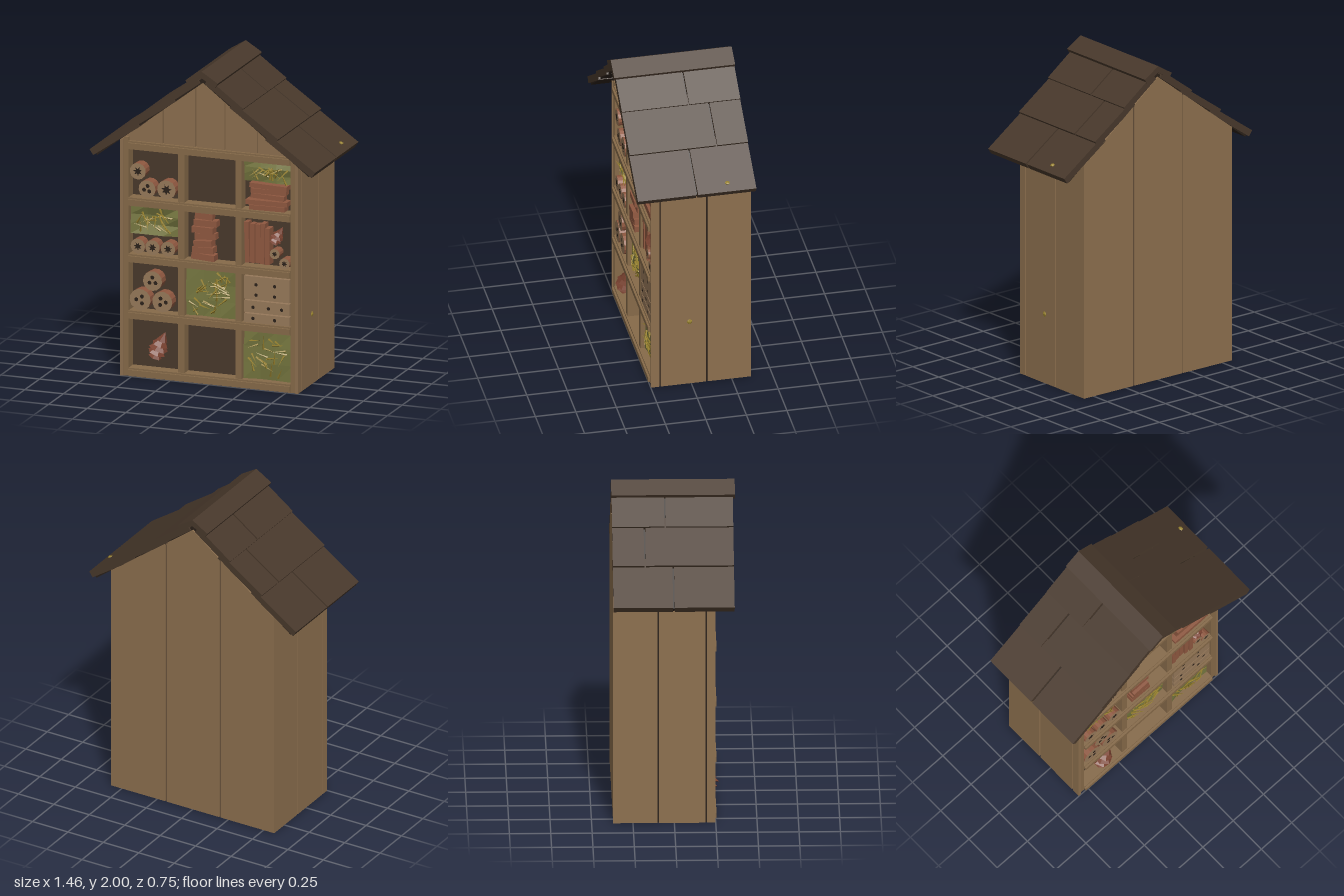
import * as THREE from 'three';

const mat = (name, color) => {
  const m = new THREE.MeshStandardMaterial({ color, flatShading: true });
  m.name = name;
  return m;
};

export function createModel() {
  const root = new THREE.Group();
  root.name = 'insectHouse';
  const wood = mat('plank wood', 0x8c6f4e);
  const frame = mat('frame wood', 0x866a49);
  const dark = mat('dark wood', 0x48382b);
  const gap = mat('gap and hole', 0x2b2119);
  const olive = mat('moss', 0x75763f);
  const straw = mat('straw', 0x9a8430);
  const brick = mat('red bark', 0x8f5840);
  const cone = mat('pine cone', 0x7a4230);
  const cut = mat('cut log', 0x97795a);

  let seed = 7;
  const rnd = (a = 0, b = 1) => {
    seed = (seed * 16807) % 2147483647;
    return a + (b - a) * seed / 2147483647;
  };
  const add = (name, geo, m, x = 0, y = 0, z = 0, parent = root) => {
    const mesh = new THREE.Mesh(geo, m);
    mesh.name = name;
    mesh.position.set(x, y, z);
    parent.add(mesh);
    return mesh;
  };
  // box given by its limits
  const box = (name, m, x0, x1, y0, y1, z0, z1) =>
    add(name, new THREE.BoxGeometry(x1 - x0, y1 - y0, z1 - z0), m,
      (x0 + x1) / 2, (y0 + y1) / 2, (z0 + z1) / 2);

  // upright board whose top follows the roof slope
  const roofY = (x) => 1.93 - 0.77 * Math.abs(x);
  const gableBoard = (name, m, x0, x1, y0, z0, z1, drop = 0) => {
    const pts = [[x0, y0], [x1, y0], [x1, roofY(x1) - drop]];
    if (x0 < 0 && x1 > 0) pts.push([0, roofY(0) - drop]);
    pts.push([x0, roofY(x0) - drop]);
    const shape = new THREE.Shape(pts.map((p) => new THREE.Vector2(...p)));
    add(name, new THREE.ExtrudeGeometry(shape, { depth: z1 - z0, bevelEnabled: false }), m, 0, 0, z0);
  };

  // core, floor and walls
  const back = 0.165, front = 0.24;
  gableBoard('innerBody', dark, -0.56, 0.56, 0.002, -0.36, back, 0.01);
  box('floor', dark, -0.565, 0.565, 0.001, 0.03, -0.36, 0.23);
  [[-0.57, -0.195], [-0.185, 0.185], [0.195, 0.57]].forEach(([a, b]) =>
    gableBoard('backPlank', wood, a, b, 0, -0.37, -0.355));
  for (const s of [-1, 1]) {
    for (const [a, b] of [[-0.37, -0.102], [-0.092, 0.188], [0.196, 0.248]]) {
      box('sidePlank', wood, Math.min(s * 0.555, s * 0.575), Math.max(s * 0.555, s * 0.575), 0, 1.49, a, b);
    }
    box('sideGap', gap, Math.min(s * 0.55, s * 0.566), Math.max(s * 0.55, s * 0.566), 0.002, 1.47, -0.35, 0.235);
    box('frontPost', frame, Math.min(s * 0.523, s * 0.556), Math.max(s * 0.523, s * 0.556), 0, 1.5, back, front);
    box('divider', frame, s * 0.185 - 0.02, s * 0.185 + 0.02, 0.04, 1.44, back, 0.235);
  }

  // front gable
  gableBoard('gableGap', gap, -0.555, 0.555, 1.44, back, 0.205, 0.01);
  const cuts = [-0.555, -0.305, -0.095, 0.095, 0.305, 0.555];
  for (let i = 0; i < 5; i++)
    gableBoard('gablePlank', wood, cuts[i] + 0.004, cuts[i + 1] - 0.004, 1.45, 0.2, 0.225);

  // shelves with a thin stepped edge
  for (const y of [0, 0.36, 0.715, 1.07, 1.425]) {
    box('shelf', frame, -0.523, 0.523, y, y + 0.052, back, 0.243);
    box('shelfLip', frame, -0.523, 0.523, y + 0.01, y + 0.042, 0.24, 0.256);
  }

  // roof courses: outer line from a to b, board joint along z
  const slab = (name, m, s, [ax, ay], [bx, by], t, z0, z1) => {
    const len = Math.hypot(bx - ax, by - ay), ang = Math.atan2(by - ay, bx - ax);
    const x = (ax + bx) / 2 + Math.sin(ang) * t / 2, y = (ay + by) / 2 - Math.cos(ang) * t / 2;
    add(name, new THREE.BoxGeometry(len, t, z1 - z0), m, s * x, y, (z0 + z1) / 2).rotation.z = s * ang;
  };
  const courses = [
    [[0.04, 1.955], [0.265, 1.79], -0.05],
    [[0.2, 1.822], [0.49, 1.62], -0.175],
    [[0.43, 1.643], [0.73, 1.435], -0.005],
  ];
  for (const s of [-1, 1]) {
    slab('roofUnderlay', gap, s, [0, 1.955], [0.7, 1.42], 0.025, -0.36, 0.35);
    for (const [a, b, j] of courses) {
      slab('shingle', dark, s, a, b, 0.042, -0.37, j - 0.005);
      slab('shingle', dark, s, a, b, 0.042, j + 0.005, 0.362);
    }
    slab('ridgeBoard', dark, s, [0, 2], [0.105, 1.935], 0.035, -0.372, 0.375);
  }

  // logs with drilled or star-shaped holes
  const log = (x, y, r, star) => {
    const g = new THREE.Group();
    g.name = 'log';
    g.position.set(x, y, 0);
    root.add(g);
    const body = add('logBody', new THREE.CylinderGeometry(r, r * 0.96, 0.075, 13), [brick, cut, cut], 0, 0, 0.2, g);
    body.rotation.x = Math.PI / 2;
    if (star) {
      const pts = [];
      for (let i = 0; i < 14; i++) {
        const a = i * Math.PI / 7 + x * 9, q = r * (i % 2 ? 0.28 : 0.58);
        pts.push(new THREE.Vector2(q * Math.cos(a), q * Math.sin(a)));
      }
      add('starHole', new THREE.ShapeGeometry(new THREE.Shape(pts)), gap, 0, 0, 0.239, g);
    } else {
      for (let i = 0; i < 3; i++) {
        const a = i * 2.1 + x * 7;
        add('hole', new THREE.CircleGeometry(0.013, 8), gap, r * 0.36 * Math.cos(a), r * 0.36 * Math.sin(a), 0.239, g);
      }
    }
  };
  [[-0.37, 0.61, 0.062, 0], [-0.45, 0.485, 0.068, 0], [-0.307, 0.485, 0.065, 0],
    [-0.465, 0.82, 0.047, 1], [-0.37, 0.82, 0.047, 1], [-0.27, 0.82, 0.047, 1],
    [-0.465, 1.29, 0.052, 1], [-0.405, 1.185, 0.055, 0], [-0.28, 1.192, 0.06, 1],
    [0.42, 0.86, 0.032, 1], [0.483, 0.805, 0.034, 1]].forEach((l) => log(...l));

  // moss beds with loose straw
  const up = new THREE.Vector3(0, 1, 0);
  const mossBed = (x0, x1, y0, y1, n) => {
    const geo = new THREE.PlaneGeometry(x1 - x0, y1 - y0, 3, 3), p = geo.attributes.position;
    for (let i = 0; i < p.count; i++) p.setZ(i, rnd(-0.018, 0.012));
    box('mossBlock', olive, x0, x1, y0, y1, back - 0.02, 0.18);
    add('mossFace', geo, olive, (x0 + x1) / 2, (y0 + y1) / 2, 0.2);
    for (let i = 0; i < n; i++) {
      const len = rnd(0.06, 0.11), a = rnd(0, Math.PI * 2);
      const blade = add('straw', new THREE.ConeGeometry(0.007, len, 4), straw,
        rnd(x0 + 0.055, x1 - 0.055), rnd(y0 + 0.045, y1 - 0.045), rnd(0.212, 0.23));
      blade.quaternion.setFromUnitVectors(up,
        new THREE.Vector3(Math.cos(a), Math.sin(a) * 0.8, rnd(0.1, 0.45)).normalize());
    }
  };
  mossBed(0.207, 0.522, 0.052, 0.36, 22);
  mossBed(-0.163, 0.163, 0.412, 0.715, 34);
  mossBed(-0.522, -0.207, 0.89, 1.07, 20);
  mossBed(0.207, 0.522, 1.29, 1.425, 18);

  // red bark strips, stacked and upright
  for (let i = 0; i < 5; i++)
    box('barkStrip', brick, 0.24 + rnd(-0.01, 0.02), 0.49 + rnd(-0.02, 0.015),
      1.124 + i * 0.034, 1.153 + i * 0.034, back, rnd(0.215, 0.24)).rotation.z = rnd(-0.03, 0.03);
  for (let i = 0; i < 7; i++)
    box('barkChunk', brick, -0.125 + rnd(0, 0.03), 0.025 + rnd(-0.02, 0.015),
      0.772 + i * 0.042, 0.81 + i * 0.042, back, rnd(0.21, 0.24)).rotation.z = rnd(-0.07, 0.07);
  for (let i = 0; i < 5; i++)
    box('barkSlat', brick, 0.22 + i * 0.034, 0.248 + i * 0.034,
      0.785, 1.03 + rnd(-0.02, 0.015), back, rnd(0.215, 0.24)).rotation.z = rnd(-0.03, 0.03);

  // drilled blocks
  for (const [y0, y1, rows, xs] of [[0.56, 0.705, [0.655, 0.59], [0.3, 0.42]],
    [0.478, 0.552, [0.512], [0.28, 0.38, 0.465]], [0.414, 0.47, [0.442], [0.28, 0.42]]]) {
    box('drilledBlock', cut, 0.222, 0.515, y0, y1, back, 0.236);
    for (const y of rows) for (const x of xs) add('drillHole', new THREE.CircleGeometry(0.011, 8), gap, x, y, 0.238);
  }

  // pine cones from tapering scale rings
  const pineCone = (x, y, len, tilt) => {
    const g = new THREE.Group();
    g.name = 'pineCone';
    g.position.set(x, y, 0.212);
    g.rotation.z = tilt;
    root.add(g);
    for (let i = 0; i < 5; i++) {
      const r = len * (0.16 + 0.2 * Math.sin((i + 0.8) / 5.2 * Math.PI));
      add('coneScales', new THREE.ConeGeometry(r, len * 0.36, 6), cone, 0, len * (i * 0.17 - 0.34), 0, g).rotation.y = i * 0.5;
    }
  };
  pineCone(-0.33, 0.21, 0.17, -0.4);
  pineCone(0.435, 0.975, 0.115, -0.5);

  // small lichen tufts on wall and roof
  add('lichen', new THREE.IcosahedronGeometry(0.02, 0), straw, 0.572, 0.44, 0.01).scale.x = 0.5;
  add('lichen', new THREE.IcosahedronGeometry(0.018, 0), straw, 0.68, 1.467, -0.2).scale.y = 0.6;

  return root;
}
